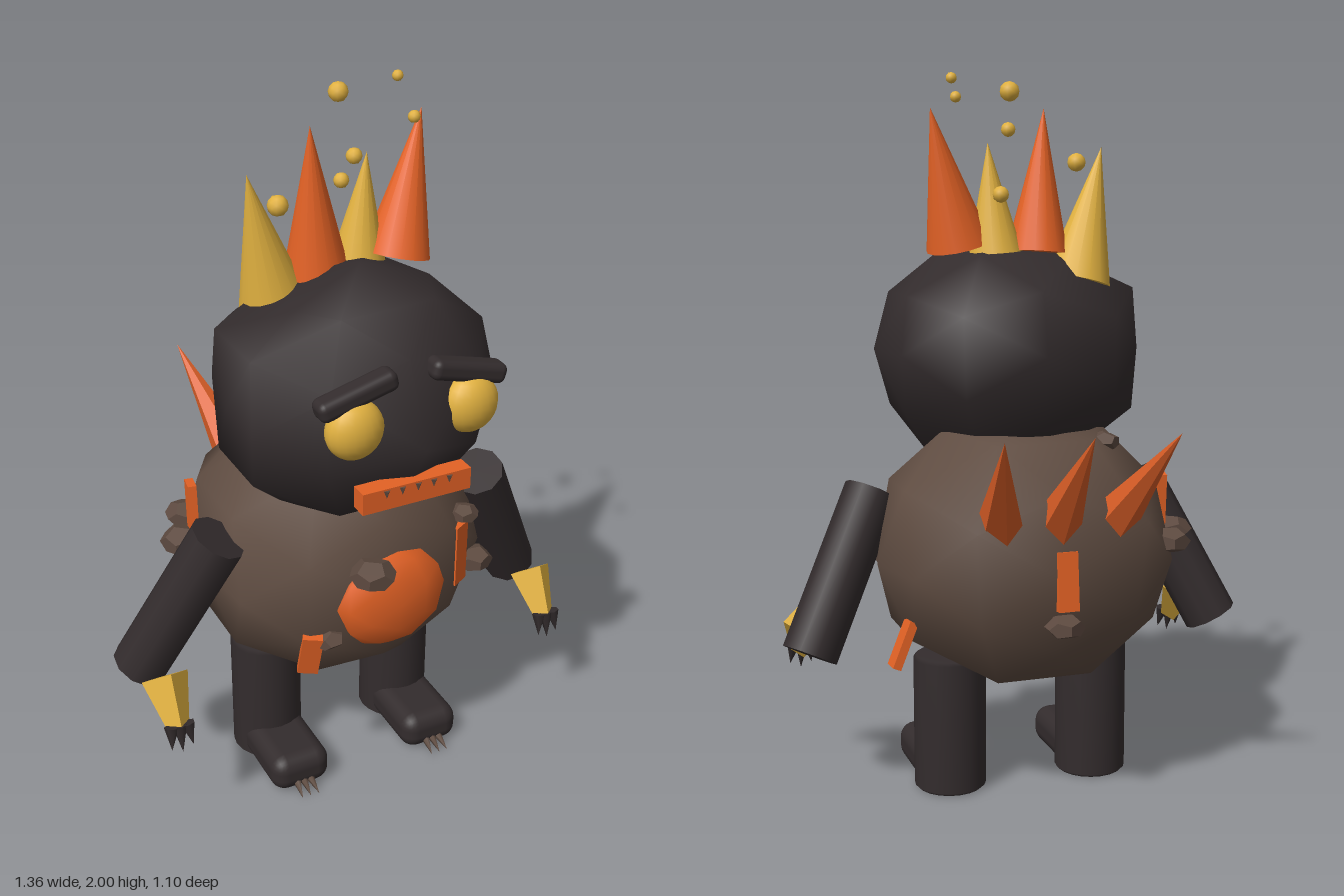
import * as THREE from 'three';
import { mergeVertices } from 'three/addons/utils/BufferGeometryUtils.js';
import { RoundedBoxGeometry } from 'three/addons/geometries/RoundedBoxGeometry.js';

const V = (x, y, z) => new THREE.Vector3(x, y, z);

function mat(name, color, flatShading = false) {
  const m = new THREE.MeshStandardMaterial({ color, flatShading });
  m.name = name;
  return m;
}

// Lumpy ball: plus/minus are the radii on each side of every axis,
// tipPlus/tipMinus push the vertices lying on the axes in or out,
// dents scale the single vertex nearest to a direction: [x, y, z, factor, lift].
function lump(plus, minus, tipPlus = [1, 1, 1], tipMinus = tipPlus, dents = []) {
  let g = new THREE.IcosahedronGeometry(1, 1);
  g.deleteAttribute('uv');
  g.deleteAttribute('normal');
  g = mergeVertices(g);
  const p = g.attributes.position;
  for (let i = 0; i < p.count; i++) {
    const dir = V().fromBufferAttribute(p, i);
    const [, , , factor, lift = 0] = dents.find(([x, y, z]) => dir.distanceTo(V(x, y, z)) < 0.1) ?? [0, 0, 0, 1];
    const v = dir.toArray().map((c, k) => {
      const tip = Math.abs(c) > 0.99 ? (c > 0 ? tipPlus : tipMinus)[k] : 1;
      return c * tip * (c > 0 ? plus : minus)[k] * factor;
    });
    p.setXYZ(i, v[0], v[1] + lift, v[2]);
  }
  g.computeVertexNormals();
  return g;
}

export function createModel() {
  const model = new THREE.Group();
  model.name = 'monster';
  const dark = mat('charcoal', 0x332c2d);
  const brown = mat('brown hide', 0x604d42);
  const stone = mat('stone brown', 0x5d4a40, true);
  const orange = mat('ember orange', 0xe46225);
  const orangeFlat = mat('spike orange', 0xdc5f27, true);
  const gold = mat('gold', 0xe1b140);
  const goldFlat = mat('faceted gold', 0xe1b140, true);

  const add = (name, geo, material, pos, rot = [0, 0, 0]) => {
    const m = new THREE.Mesh(geo, material);
    m.name = name;
    m.position.set(...pos);
    m.rotation.set(...rot);
    model.add(m);
    return m;
  };
  // Tapered rod from point a (radius ra) to point b (radius rb)
  const rod = (name, material, a, b, ra, rb, sides, squash = 1) => {
    const d = b.clone().sub(a);
    const geo = new THREE.CylinderGeometry(rb, ra, d.length(), sides);
    geo.scale(squash, 1, 1);
    const m = add(name, geo, material, a.clone().add(b).multiplyScalar(0.5).toArray());
    m.quaternion.setFromUnitVectors(V(0, 1, 0), d.normalize());
  };

  // Body, head and belly
  const bodyDents = [
    [0.526, -0.851, 0, 0.9], [-0.526, -0.851, 0, 0.9],
    [0.5, 0.309, -0.809, 1.09], [-0.5, 0.309, -0.809, 1.09],
    [0.809, 0.5, -0.309, 1.06],
  ];
  const headDents = [
    [-0.526, 0.851, 0, 0.82], [0.526, 0.851, 0, 0.93],
    [-0.309, 0.809, 0.5, 0.96], [-0.309, 0.809, -0.5, 0.96],
    [0.809, 0.5, 0.309, 0.93], [0.809, 0.5, -0.309, 0.93],
    [0.809, -0.5, 0.309, 0.93], [0.809, -0.5, -0.309, 0.95],
    [-0.851, 0, 0.526, 1.04], [-0.851, 0, -0.526, 0.91],
    [0.851, 0, 0.526, 0.91], [0.5, 0.309, -0.809, 1.07],
    [-0.5, 0.309, 0.809, 0.9], [0, 0, 1, 1, -0.033],
  ];
  add('body', lump([0.44, 0.43, 0.4], [0.44, 0.385, 0.4], [0.96, 0.88, 0.9], [0.91, 0.98, 0.86], bodyDents), brown, [0, 0.67, 0.01]);
  add('head', lump([0.42, 0.33, 0.32], [0.435, 0.37, 0.41], [0.91, 1, 1.16], [0.87, 0.85, 0.95], headDents), dark, [0, 1.25, 0.18]);
  add('belly', lump([0.168, 0.152, 0.06], [0.165, 0.157, 0.06]), orange, [0.021, 0.655, 0.347]);

  // Paired parts: legs, feet, arms, hands, eyes, brows
  const legProfile = [[0, 0], [0.095, 0], [0.103, 0.008], [0.103, 0.382], [0.095, 0.39], [0, 0.39]]
    .map(([x, y]) => new THREE.Vector2(x, y));
  const legGeo = new THREE.LatheGeometry(legProfile, 20);
  const footGeo = new RoundedBoxGeometry(0.18, 0.113, 0.26, 3, 0.045);
  const browGeo = new RoundedBoxGeometry(0.22, 0.055, 0.065, 3, 0.02);
  const eyeGeo = new THREE.SphereGeometry(1, 20, 14).scale(0.078, 0.08, 0.055);
  for (const s of [1, -1]) {
    add('leg', legGeo, dark, [s * 0.215, 0, 0.017]);
    add('foot', footGeo, dark, [s * 0.215, 0.0565, 0.152]);
    rod('arm', dark, V(s * 0.612, 0.42, 0.035), V(s * 0.402, 0.85, 0.15), 0.083, 0.083, 10, 0.95);
    rod('hand', goldFlat, V(s * 0.59, 0.477, 0.187), V(s * 0.59, 0.365, 0.275), 0.067, 0.032, 4);
    for (const i of [-1, 0, 1]) {
      rod('toeClaw', brown, V(s * 0.215 + i * 0.02, 0.034, 0.265), V(s * 0.215 + i * 0.026, 0.008, 0.325), 0.014, 0, 6);
      const x = s * 0.59 + i * 0.023;
      rod('fingerClaw', dark, V(x, 0.38, 0.285), V(x + i * 0.008, i ? 0.315 : 0.3, 0.303), 0.021, 0, 6);
    }
    add('eye', eyeGeo, gold, [s * 0.163, 1.28, 0.473]);
    add('brow', browGeo, dark, [s * 0.155, 1.37, 0.463], [0, 0, -s * 0.26]);
  }

  // Mouth with a row of small teeth
  add('mouth', new THREE.BoxGeometry(0.31, 0.06, 0.05), orange, [-0.002, 1.083, 0.488]);
  for (let i = -2; i <= 2; i++) {
    add('tooth', new THREE.ConeGeometry(0.011, 0.028, 4), stone, [i * 0.045, 1.094, 0.511], [Math.PI, 0, 0]);
  }

  // Crown of flame cones: base, tip, radius, material
  for (const [a, b, r, m] of [
    [V(-0.165, 1.44, 0.015), V(-0.252, 1.81, 0.055), 0.095, gold],
    [V(-0.055, 1.52, 0.04), V(-0.085, 1.915, 0.07), 0.086, orange],
    [V(0.065, 1.52, 0.045), V(0.085, 1.82, 0.05), 0.075, gold],
    [V(0.16, 1.54, 0.08), V(0.253, 1.91, 0.03), 0.092, orange],
  ]) rod('crownFlame', m, a, b, r, 0, 16);

  // Spikes on the back
  for (const s of [-1, 0, 1]) {
    rod('backSpike', orangeFlat, V(s * 0.16, 0.81, -0.28), V(s * 0.235, 1.09, -0.553), 0.067, 0, 6);
  }

  // Floating sparks: x, y, z, radius
  for (const [x, y, z, r] of [
    [0.058, 1.95, -0.06, 0.027], [0.127, 1.95, 0.215, 0.016], [0.206, 1.985, -0.015, 0.015],
    [-0.016, 1.86, 0.175, 0.021], [-0.228, 1.77, 0.187, 0.027], [0.11, 1.68, -0.143, 0.022],
  ]) add('spark', new THREE.IcosahedronGeometry(r, 1), gold, [x, y, z]);

  // Stones stuck in the hide: x, y, z, radius
  for (const [x, y, z, r] of [
    [-0.07, 0.79, 0.41, 0.064], [-0.165, 0.565, 0.335, 0.047], [0.335, 0.64, 0.265, 0.056],
    [0.28, 0.82, 0.29, 0.042], [0.0, 0.55, -0.345, 0.056], [-0.365, 0.725, -0.2, 0.06],
    [-0.425, 0.725, -0.07, 0.064], [-0.2, 1.0, -0.11, 0.047],
  ]) {
    const geo = new THREE.DodecahedronGeometry(r).scale(1, 0.62, 1);
    add('stone', geo, stone, [x, y, z], [0, x * 9, 0]);
  }

  // Glowing slabs: position, height, yaw, pitch, roll
  for (const [pos, h, yaw, pitch, roll] of [
    [[0.26, 0.7, 0.3], 0.19, 0.5, 0, 0],
    [[-0.215, 0.52, 0.325], 0.135, -0.4, 0.2, -0.12],
    [[0.385, 0.475, -0.12], 0.135, Math.PI / 2, -0.4, 0.06],
    [[-0.01, 0.67, -0.335], 0.16, 0, 0.1, 0],
    [[-0.39, 0.82, -0.075], 0.15, -1.75, 0, 0.1],
  ]) {
    const slab = add('glowSlab', new THREE.BoxGeometry(0.057, h, 0.024), orange, pos);
    slab.rotation.set(pitch, yaw, roll, 'YXZ');
  }
  return model;
}
